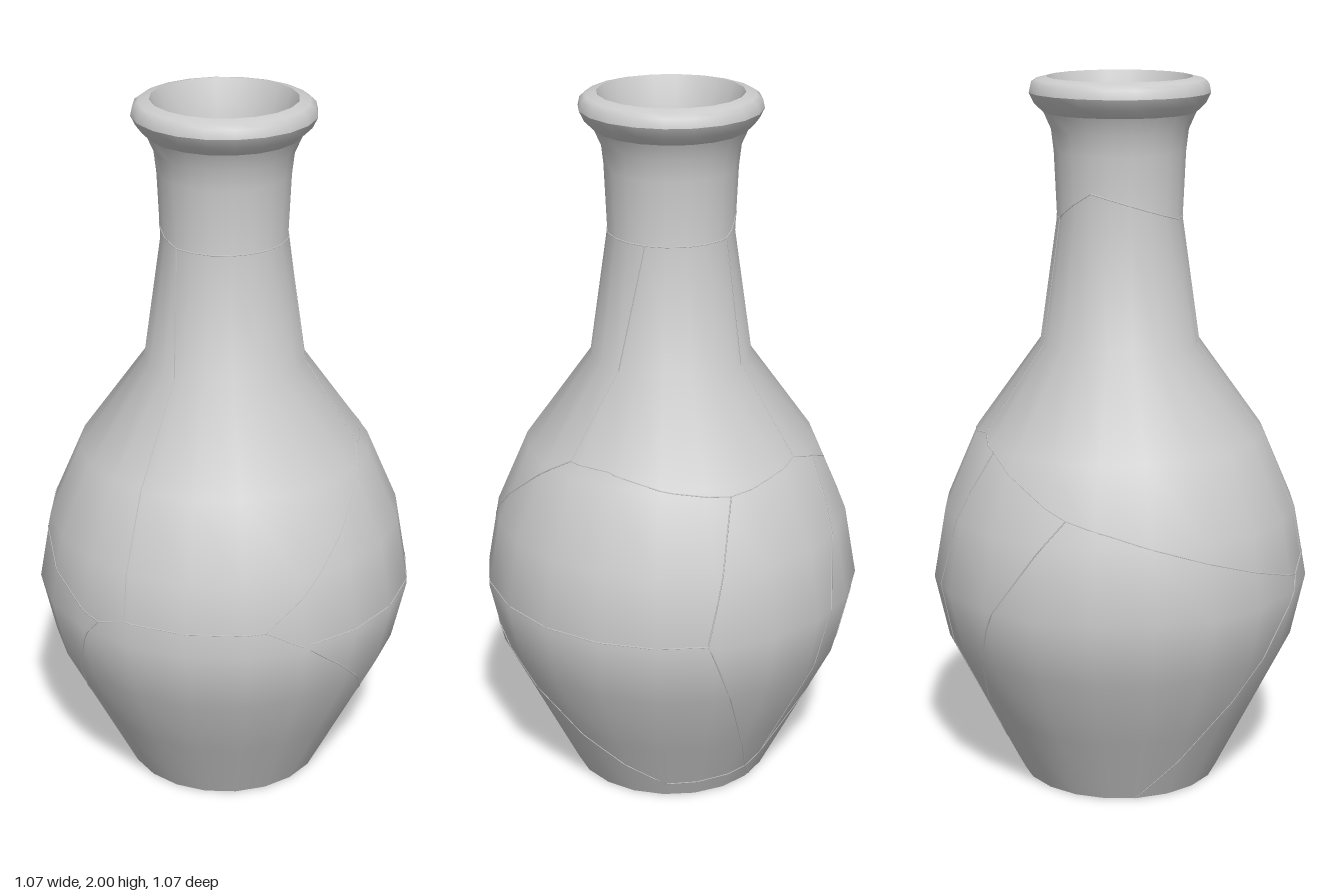
import * as THREE from 'three';

const SIDES = 20;
const STEP = (Math.PI * 2) / SIDES;
const DEG = Math.PI / 180;

// Outer wall, from foot to lip: [radius, height]
const OUTER = [
  [0.285, 0], [0.39, 0.21], [0.495, 0.42], [0.535, 0.6], [0.5, 0.8], [0.41, 1.01],
  [0.225, 1.27], [0.175, 1.62], [0.183, 1.8], [0.19, 1.86], [0.21, 1.905],
];
const LIP_UNDER = [[0.21, 1.905], [0.236, 1.93], [0.25, 1.958]];
const LIP_TOP = [[0.25, 1.958], [0.245, 1.982], [0.23, 1.993], [0.2, 2]];
// Inner wall, from the lip down to the floor
const INNER = [
  [0.2, 2], [0.172, 1.93], [0.148, 1.83], [0.135, 1.62], [0.185, 1.27], [0.365, 1.0],
  [0.455, 0.8], [0.49, 0.6], [0.45, 0.42], [0.26, 0.05],
];

// Radius of the faceted outer wall at a height and angle
function wallRadius(y, phi) {
  let i = 0;
  while (i < OUTER.length - 2 && y > OUTER[i + 1][1]) i++;
  const [r0, y0] = OUTER[i], [r1, y1] = OUTER[i + 1];
  const r = r0 + (r1 - r0) * (y - y0) / (y1 - y0);
  const local = ((phi % STEP) + STEP) % STEP;
  return r * Math.cos(STEP / 2) / Math.cos(local - STEP / 2);
}

// Hairline seam along a flat cut between two [degrees, height] nodes, hugging the wall
function seamGeometry([a0, y0], [a1, y1]) {
  const turn = ((a1 - a0 + 540) % 360) - 180;
  const half = (turn / 2) * DEG;
  const mid = a0 * DEG + half;
  const across0 = -wallRadius(y0, mid - half) * Math.sin(half);
  const across1 = wallRadius(y1, mid + half) * Math.sin(half);
  const points = [];
  for (let i = 0; i <= 32; i++) {
    const t = i / 32;
    const y = THREE.MathUtils.lerp(y0, y1, t);
    const across = THREE.MathUtils.lerp(across0, across1, t);
    const phi = mid + Math.asin(across / wallRadius(y, mid + half * (2 * t - 1)));
    const r = wallRadius(y, phi);
    points.push(new THREE.Vector3(r * Math.sin(phi), y, r * Math.cos(phi)));
  }
  return new THREE.TubeGeometry(new THREE.CatmullRomCurve3(points), 64, 0.002, 4);
}

export function createModel() {
  const vase = new THREE.Group();
  vase.name = 'vase';
  const clay = new THREE.MeshStandardMaterial({ color: 0xcccccc });
  clay.name = 'grey clay';

  const add = (name, geometry, parent = vase) => {
    const mesh = new THREE.Mesh(geometry, clay);
    mesh.name = name;
    parent.add(mesh);
  };
  const turned = (name, profile) => add(name,
    new THREE.LatheGeometry(profile.map(([r, y]) => new THREE.Vector2(r, y)), SIDES));

  // Turned body, separate pieces keep the edges between them sharp
  turned('base', [[0, 0], [0.285, 0]]);
  turned('outerWall', OUTER);
  turned('lipUnderside', LIP_UNDER);
  turned('lipTop', LIP_TOP);
  turned('innerWall', INNER);
  turned('innerFloor', [[0.26, 0.05], [0, 0.05]]);

  // Corners where the shards meet: [degrees around from the front, height]
  const front = [6, 0.635], frontLeft = [16, 0.665], side = [60, 0.665], sideLow = [71, 0.612];
  const shoulder = [121, 1.045], shoulderBack = [167, 1.01], back = [-171, 0.99];
  const backMid = [177, 0.61], backRight = [-135, 1.03], backRightLow = [-121, 1.0];
  const right = [-82, 0.87], footBack = [-150, 0.06], footRight = [-144, 0.1];
  const neckFront = [0, 1.62], neckSide = [72, 1.62], neckLeft = [143, 1.62];
  const neckBack = [-135, 1.62], neckRight = [-90, 1.7];

  // Each run is a chain of seams
  const runs = [
    [front, frontLeft, side, sideLow, backMid],
    [right, front, [-55, 0]],
    [frontLeft, [14, 1.0], [10, 1.27], neckFront],
    [side, shoulder, [140, 1.045], shoulderBack, back, backRight, backRightLow, right],
    [sideLow, [165, 0.05], footBack, footRight],
    [back, backMid, footBack, [-140, 0]],
    [backRightLow, [-136, 0.6], footRight],
    [right, [-103, 0.62], footRight],
    [shoulder, [127, 1.27], neckLeft],
    [backRight, neckBack],
    [neckFront, neckSide, neckLeft, neckBack, neckRight, neckFront],
  ];
  const seams = new THREE.Group();
  seams.name = 'crackSeams';
  vase.add(seams);
  for (const run of runs) {
    for (let i = 0; i < run.length - 1; i++) {
      add('crackSeam', seamGeometry(run[i], run[i + 1]), seams);
    }
  }
  return vase;
}
